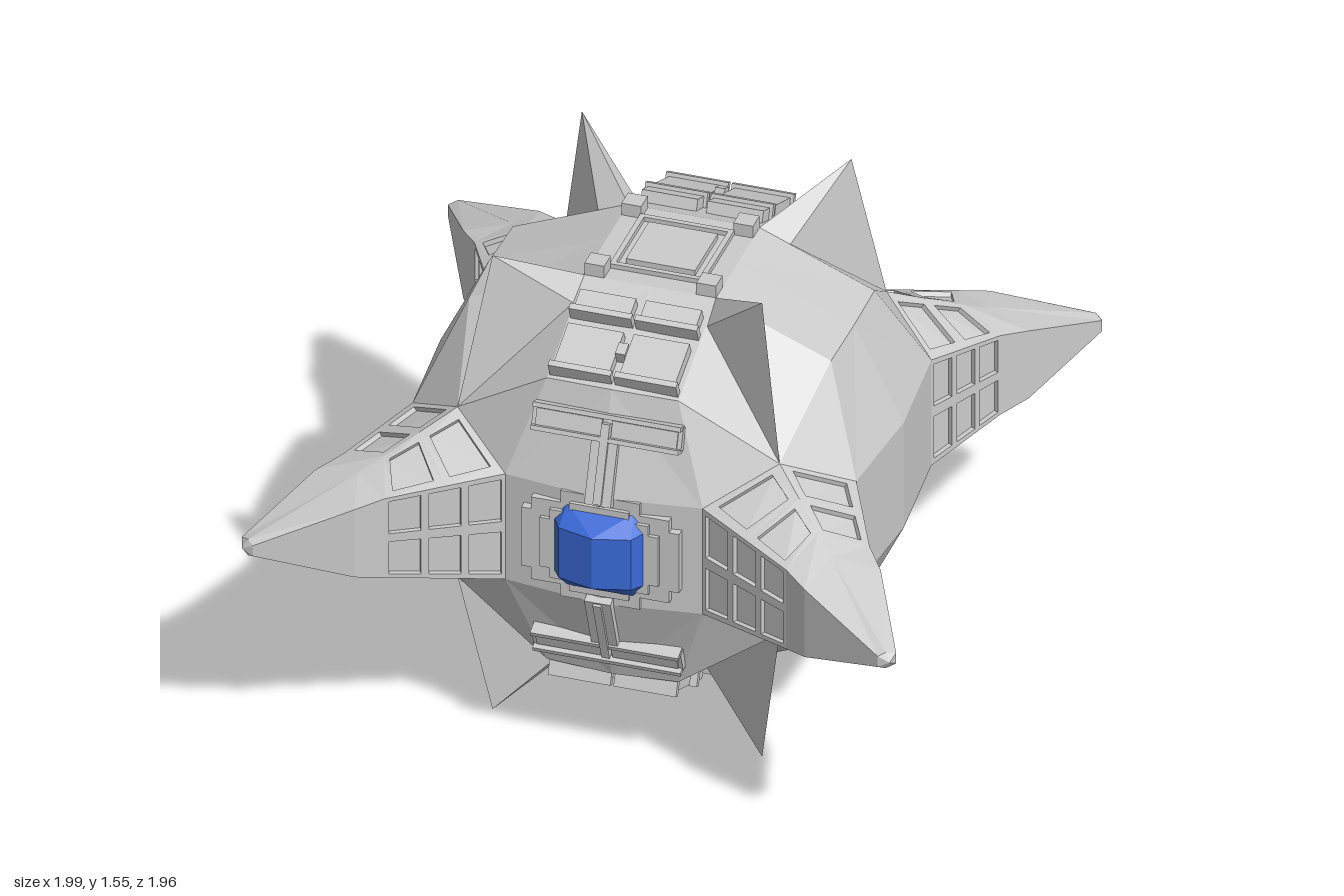
import * as THREE from 'three';
import { ConvexGeometry } from 'three/addons/geometries/ConvexGeometry.js';

const grey = new THREE.MeshStandardMaterial({ color: 0xcccccc, flatShading: true });
const blue = new THREE.MeshStandardMaterial({ color: 0x3a6ad8, flatShading: true });
const V = (x, y, z) => new THREE.Vector3(x, y, z);
const flip = p => V(p.x, -p.y, p.z);

// Collects faces; corners are reordered so each face looks away from the centre
class Faces {
  constructor() { this.pos = []; }
  raw(...p) {
    for (let i = 1; i < p.length - 1; i++)
      for (const v of [p[0], p[i], p[i + 1]]) this.pos.push(v.x, v.y, v.z);
  }
  outward(p) {
    const n = p[1].clone().sub(p[0]).cross(p[p.length - 1].clone().sub(p[0]));
    const mid = p.reduce((s, v) => s.add(v), V(0, 0, 0));
    return n.dot(mid) < 0 ? { p: [p[0], ...p.slice(1).reverse()], n: n.negate().normalize(), swap: true }
      : { p, n: n.normalize(), swap: false };
  }
  add(...p) { this.raw(...this.outward(p).p); }
  both(...p) { this.add(...p); this.add(...p.map(flip)); }
  // Quad divided into framed, sunken cells
  panel(corners, cols, rows, inset, depth) {
    const { p, n, swap } = this.outward(corners);
    if (swap) [cols, rows] = [rows, cols];
    const at = (u, v) => p[0].clone().lerp(p[1], u).lerp(p[3].clone().lerp(p[2], u), v);
    for (let i = 0; i < cols; i++) for (let j = 0; j < rows; j++) {
      const rect = m => [[m, m], [1 - m, m], [1 - m, 1 - m], [m, 1 - m]]
        .map(([u, v]) => at((i + u) / cols, (j + v) / rows));
      const outer = rect(0), inner = rect(inset);
      const floor = inner.map(q => q.clone().addScaledVector(n, -depth));
      for (let k = 0; k < 4; k++) {
        const l = (k + 1) % 4;
        this.raw(outer[k], outer[l], inner[l], inner[k]);
        this.raw(inner[k], inner[l], floor[l], floor[k]);
      }
      this.raw(...floor);
    }
  }
  mesh(name) {
    const g = new THREE.BufferGeometry();
    g.setAttribute('position', new THREE.Float32BufferAttribute(this.pos, 3));
    g.computeVertexNormals();
    return named(new THREE.Mesh(g, grey), name);
  }
}

function named(o, name) { o.name = name; return o; }

function box(parent, name, w, h, d, x, y, z, rx = 0) {
  const m = named(new THREE.Mesh(new THREE.BoxGeometry(w, h, d), grey), name);
  m.position.set(x, y, z);
  m.rotation.x = rx;
  parent.add(m);
}

// Shared corners of one quarter of the hull
const A = V(0.2, 0.625, 0.2), B = V(0.49, 0.29, 0.49);
const C = V(0.2, 0.48, 0.545), D = V(0.55, 0.48, 0.2);
const P = V(0.3, 0.18, 0.625), Q = V(0.675, 0.18, 0.345);

function hullQuarter() {
  const f = new Faces();
  const Am = V(0, 0.625, 0.2), Cm = V(0, 0.485, 0.555), Pm = V(0, 0.18, 0.665);
  const An = V(0.2, 0.625, 0), Dn = V(0.555, 0.485, 0), Qn = V(0.705, 0.18, 0);
  f.both(V(0, 0.625, 0), Am, A, An);
  f.both(Am, A, C, Cm);
  f.both(Cm, C, P, Pm);
  f.both(An, A, D, Dn);
  f.both(Dn, D, Q, Qn);
  f.add(Pm, P, flip(P), flip(Pm));
  f.add(Qn, Q, flip(Q), flip(Qn));
  f.both(A, C, B);
  f.both(A, D, B);
  f.both(C, P, B);
  f.both(D, Q, B);
  return f.mesh('hull');
}

// Horizontal six-sided horn with panelled root and blunt tip
function horn() {
  const f = new Faces();
  const rings = [
    [B, P, Q],
    [V(0.66, 0.185, 0.65), V(0.61, 0.135, 0.795), V(0.8, 0.135, 0.6)],
    [V(0.72, 0.15, 0.71), V(0.685, 0.115, 0.85), V(0.86, 0.115, 0.68)],
    [V(0.97, 0.027, 0.965), V(0.95, 0.018, 0.98), V(0.995, 0.018, 0.945)],
  ].map(([t, p, q]) => [t, p, flip(p), flip(t), flip(q), q]);
  for (let r = 0; r < 3; r++) for (let k = 0; k < 6; k++) {
    const l = (k + 1) % 6, quad = [rings[r][k], rings[r + 1][k], rings[r + 1][l], rings[r][l]];
    if (r > 0) {
      f.add(quad[0], quad[1], quad[2]);
      f.add(quad[0], quad[2], quad[3]);
    } else if (k === 1 || k === 4) f.panel(quad, 3, 2, 0.1, 0.015);
    else f.panel(quad, 2, 1, 0.14, 0.015);
  }
  const tip = V(0.985, 0, 0.975);
  for (let k = 0; k < 6; k++) f.add(rings[3][k], rings[3][(k + 1) % 6], tip);
  return f.mesh('horn');
}

// Thin pointed fin on a hull corner
function fin(s) {
  const pts = [V(0.41, 0.775, 0.41), B, A, V(0.29, 0.58, 0.2), V(0.2, 0.58, 0.29), V(0.3, 0.4, 0.3)];
  return named(new THREE.Mesh(new ConvexGeometry(s > 0 ? pts : pts.map(flip)), grey), 'fin');
}

// Raised plates from the top centre down to the gem, for one half of one face
function armour() {
  const g = named(new THREE.Group(), 'armour');
  const upper = -Math.atan2(0.345, 0.145), lower = -Math.atan2(0.11, 0.3);
  const slopeY = z => 0.625 - (z - 0.2) * 0.42;
  const faceZ = y => 0.665 - (y - 0.18) * 0.36;
  for (const s of [-1, 1]) {
    for (const [z, len] of [[0.305, 0.07], [0.455, 0.15]]) {
      box(g, 'topPlate', 0.17, len, 0.05, s * 0.1, slopeY(z) + 0.012, z, upper);
      box(g, 'topPlateRim', 0.19, 0.02, 0.07, s * 0.1, slopeY(z + len / 2) + 0.014, z + len / 2, upper);
    }
    // Frame of the brow panel
    box(g, 'browSide', 0.015, 0.07, 0.04, s * 0.22, 0.375, faceZ(0.375) - 0.02, lower);
    box(g, 'browPlate', 0.2, 0.05, 0.03, s * 0.115, 0.375, faceZ(0.375) - 0.008, lower);
    // Roof trim
    box(g, 'roofBlock', 0.06, 0.05, 0.06, s * 0.17, 0.64, 0.17);
    box(g, 'roofRail', 0.016, 0.02, 0.14, s * 0.135, 0.63, 0.07);
  }
  box(g, 'roofRail', 0.28, 0.02, 0.016, 0, 0.63, 0.135);
  box(g, 'roofPlate', 0.21, 0.024, 0.105, 0, 0.63, 0.0525);
  box(g, 'ridge', 0.03, 0.04, 0.05, 0, 0.545, 0.45, upper);
  for (const y of [0.345, 0.41]) box(g, 'browRail', 0.45, 0.014, 0.05, 0, y, faceZ(y) - 0.005, lower);
  box(g, 'strut', 0.08, 0.19, 0.03, 0, 0.25, faceZ(0.25), lower);
  box(g, 'strutRidge', 0.025, 0.24, 0.04, 0, 0.28, faceZ(0.28) + 0.004, lower);
  return g;
}

// Faceted gem in a stepped round mount
function gemMount() {
  const g = named(new THREE.Group(), 'gemMount');
  const layer = (name, rx, ry, z) => {
    const step = ry / 4.5;
    for (let j = -4; j <= 4; j++) {
      const half = Math.ceil(rx * Math.sqrt(1 - (j / 4.6) ** 2) / 0.03) * 0.03;
      box(g, name, half * 2, step, 0.07, 0, j * step, z - 0.035);
    }
  };
  layer('outerMount', 0.24, 0.18, 0.66);
  layer('innerMount', 0.18, 0.15, 0.672);
  const pts = [];
  for (const sx of [-1, 1]) for (const sy of [-1, 1]) {
    pts.push(V(sx * 0.145, sy * 0.09, 0.655), V(sx * 0.1, sy * 0.14, 0.655));
    pts.push(V(sx * 0.145, sy * 0.09, 0.62), V(sx * 0.1, sy * 0.14, 0.62));
    pts.push(V(sx * 0.11, sy * 0.085, 0.71), V(0, sy * 0.085, 0.74));
  }
  g.add(named(new THREE.Mesh(new ConvexGeometry(pts), blue), 'gem'));
  return g;
}

export function createModel() {
  const model = named(new THREE.Group(), 'spikedOrb');
  // Half turns about each axis repeat the quarter around the orb
  [[0, 0, 0], [0, Math.PI, 0], [0, 0, Math.PI], [Math.PI, 0, 0]].forEach((r, i) => {
    const quarter = named(new THREE.Group(), 'quarter');
    quarter.add(hullQuarter(), horn(), fin(1), fin(-1), armour());
    if (i < 2) quarter.add(gemMount());
    quarter.rotation.set(...r);
    quarter.position.y = 0.775;
    model.add(quarter);
  });
  return model;
}
